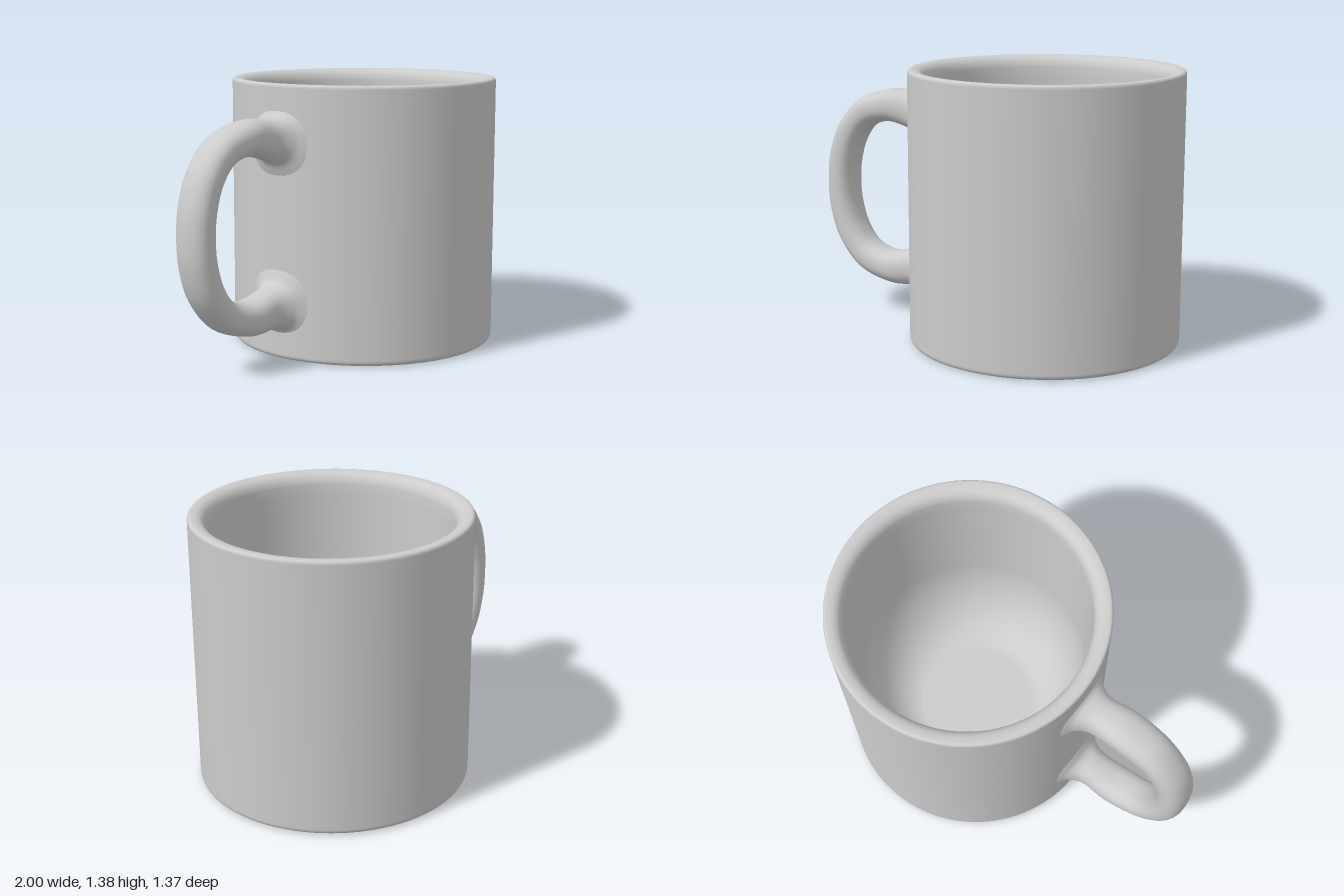
import * as THREE from 'three';

const CUP_X = 0.316, RADIUS = 0.684, HEIGHT = 1.375;

// Revolved cup: base, outer wall, rounded lip, inner wall and bowl-shaped floor
function cupGeometry() {
  const path = new THREE.Path();
  path.moveTo(0, 0);
  path.lineTo(0.65, 0);
  path.lineTo(0.662, 0.002);
  path.quadraticCurveTo(RADIUS, 0.006, RADIUS, 0.03);
  path.lineTo(RADIUS, HEIGHT - 0.02);
  path.quadraticCurveTo(RADIUS, HEIGHT, 0.665, HEIGHT);
  path.quadraticCurveTo(0.605, HEIGHT, 0.595, HEIGHT - 0.06);
  path.lineTo(0.59, HEIGHT - 0.12);
  path.lineTo(0.59, 0.6);
  path.bezierCurveTo(0.59, 0.33, 0.46, 0.11, 0.3, 0.1);
  path.lineTo(0, 0.1);
  const points = path.getPoints(14).filter((p, i, a) => !i || p.distanceTo(a[i - 1]) > 1e-5);
  return new THREE.LatheGeometry(points, 128);
}

// Handle skinned between an outer and an inner rail; each row is
// [outer x, outer y, inner x, inner y, half width]
function handleGeometry() {
  const half = [
    [-0.355, 1.275, -0.355, 0.89, 0.215],
    [-0.37, 1.24, -0.372, 0.935, 0.17],
    [-0.395, 1.222, -0.40, 0.985, 0.127],
    [-0.46, 1.212, -0.46, 1.01, 0.097],
    [-0.60, 1.215, -0.60, 1.042, 0.104],
    [-0.79, 1.155, -0.725, 1.01, 0.1],
    [-0.925, 1.01, -0.80, 0.92, 0.098],
    [-0.985, 0.85, -0.84, 0.80, 0.098],
  ];
  const mirrored = half.map(([a, b, c, d, w]) => [a, 1.38 - b, c, 1.38 - d, w]).reverse();
  const rows = [...half, [-1, 0.69, -0.85, 0.69, 0.098], ...mirrored];
  const rail = (x, y) => new THREE.CatmullRomCurve3(
    rows.map(r => new THREE.Vector3(r[x], r[y], r[4])), false, 'catmullrom', 0.5);
  const outer = rail(0, 1), inner = rail(2, 3);
  const steps = 128, sides = 32, positions = [], index = [];
  const soften = v => Math.sign(v) * Math.abs(v) ** 0.85;
  for (let i = 0; i <= steps; i++) {
    const o = outer.getPoint(i / steps), n = inner.getPoint(i / steps);
    // Near the roots the section wraps around the cup wall
    const wrap = 1 - THREE.MathUtils.smoothstep(-o.x, 0.37, 0.5);
    for (let j = 0; j < sides; j++) {
      const angle = (j / sides) * Math.PI * 2;
      const k = (1 + soften(Math.cos(angle))) / 2;
      const z = o.z * soften(Math.sin(angle));
      const bend = wrap * (RADIUS - Math.sqrt(RADIUS ** 2 - z ** 2));
      positions.push(n.x + (o.x - n.x) * k + bend, n.y + (o.y - n.y) * k, z);
      if (i < steps) {
        const a = i * sides + j, b = i * sides + (j + 1) % sides;
        index.push(a, a + sides, b, b, a + sides, b + sides);
      }
    }
  }
  const geometry = new THREE.BufferGeometry();
  geometry.setAttribute('position', new THREE.Float32BufferAttribute(positions, 3));
  geometry.setIndex(index);
  geometry.computeVertexNormals();
  return geometry;
}

export function createModel() {
  const group = new THREE.Group();
  group.name = 'mug';
  const material = new THREE.MeshStandardMaterial({ color: 0xcccccc });

  const cup = new THREE.Mesh(cupGeometry(), material);
  cup.name = 'cup';
  cup.position.x = CUP_X;

  const handle = new THREE.Mesh(handleGeometry(), material);
  handle.name = 'handle';

  group.add(cup, handle);
  return group;
}
